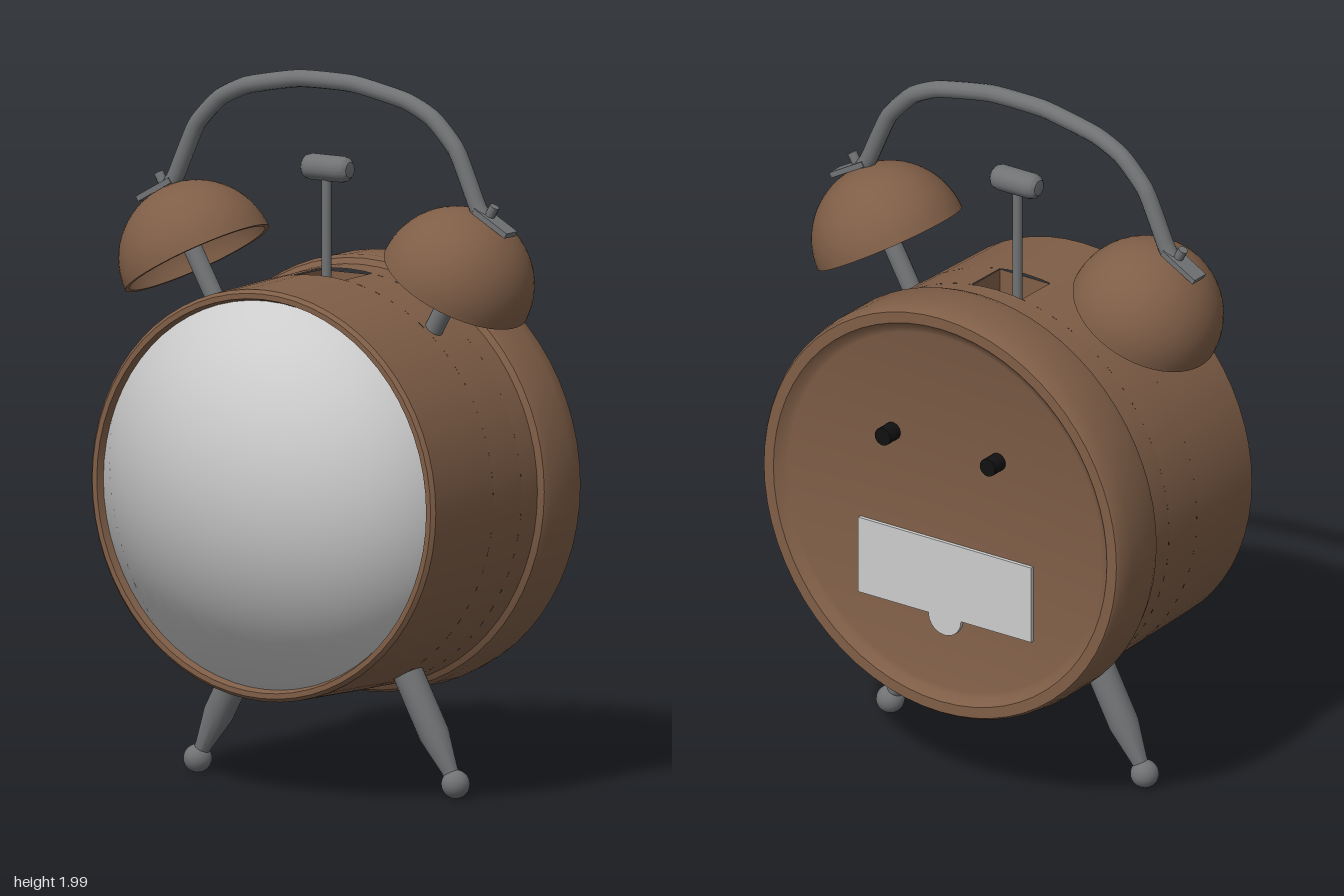
import * as THREE from 'three';
import { toCreasedNormals } from 'three/addons/utils/BufferGeometryUtils.js';

const brown = new THREE.MeshStandardMaterial({ color: 0x7f5e47 });
const metal = new THREE.MeshStandardMaterial({ color: 0x707274 });
const black = new THREE.MeshStandardMaterial({ color: 0x111111 });
const grey = new THREE.MeshStandardMaterial({ color: 0xcccccc });

const CY = 0.855; // height of the case axis
const MZ = 0.034; // depth of the plane holding legs, bells and handle

function add(parent, name, geometry, material, x = 0, y = 0, z = 0) {
  const mesh = new THREE.Mesh(geometry, material);
  mesh.name = name;
  mesh.position.set(x, y, z);
  parent.add(mesh);
  return mesh;
}

function lathe(points, segments = 32, start = 0, length = Math.PI * 2) {
  const profile = points.map(([r, h]) => new THREE.Vector2(r, h));
  return toCreasedNormals(new THREE.LatheGeometry(profile, segments, start, length), 0.6);
}

// Round case lying along z, with a slot in the top for the hammer
function addCase(model) {
  const part = (name, points, start, length) =>
    add(model, name, lathe(points, 64, start, length).rotateX(Math.PI / 2), brown, 0, CY, 0);
  part('caseBack', [
    [0, -0.31], [0.53, -0.31], [0.545, -0.315], [0.565, -0.335], [0.597, -0.335], [0.604, -0.325],
    [0.61, -0.28], [0.61, -0.17], [0.602, -0.15], [0.586, -0.14], [0.584, -0.065],
  ]);
  const gap = Math.asin(0.085 / 0.583);
  part('caseMiddle', [[0.584, -0.065], [0.582, 0.07]], Math.PI + gap, 2 * (Math.PI - gap));
  part('caseFront', [
    [0.582, 0.07], [0.575, 0.343], [0.565, 0.354], [0.55, 0.354], [0.542, 0.33], [0, 0.328],
  ]);
  const inside = brown.clone();
  inside.side = THREE.BackSide;
  add(model, 'hammerSlot', new THREE.BoxGeometry(0.17, 0.08, 0.135), inside, 0, 1.389, 0.0025);

  // Shallow glass: a cap flattened in depth that keeps its rounded normals
  const glass = new THREE.SphereGeometry(0.543 / Math.sin(Math.PI / 3), 64, 16, 0, Math.PI * 2, 0, Math.PI / 3);
  glass.rotateX(Math.PI / 2);
  const p = glass.attributes.position;
  const zMin = p.getZ(p.count - 1);
  for (let i = 0; i < p.count; i++) p.setZ(i, 0.332 + (p.getZ(i) - zMin) * 0.06);
  add(model, 'glass', glass, grey, 0, CY, 0);
}

// Two setting knobs and the battery cover with its finger tab
function addBackDetails(model) {
  for (const s of [-1, 1]) {
    const knob = new THREE.CylinderGeometry(0.026, 0.026, 0.06, 20).rotateX(Math.PI / 2);
    add(model, 'settingKnob', knob, black, s * 0.178, 1.055, -0.33);
  }
  const shape = new THREE.Shape();
  shape.moveTo(-0.293, 0.113);
  shape.lineTo(-0.293, -0.113);
  shape.lineTo(-0.055, -0.113);
  shape.absarc(0, -0.113, 0.055, Math.PI, Math.PI * 2, false);
  shape.lineTo(0.293, -0.113);
  shape.lineTo(0.293, 0.113);
  const cover = new THREE.ExtrudeGeometry(shape, { depth: 0.014, bevelEnabled: false });
  add(model, 'batteryCover', cover, grey, -0.005, 0.655, -0.321);
}

// Tapered leg with a ball foot, radial to the case
function addLeg(model, s) {
  const leg = new THREE.Group();
  leg.name = 'leg';
  leg.position.set(0, CY, MZ);
  leg.rotation.z = s * 0.49;
  add(leg, 'legShaft', lathe([[0, -0.9], [0.021, -0.9], [0.024, -0.87], [0.043, -0.765], [0.043, -0.55]], 20), metal);
  add(leg, 'foot', new THREE.SphereGeometry(0.04, 24, 16), metal, 0, -0.915, 0);
  model.add(leg);
}

// Hollow bell on a stem, with the handle bracket bolted to its crown
function addBell(model, s) {
  const bell = new THREE.Group();
  bell.name = 'bell';
  bell.position.set(s * 0.432, 1.443, MZ);
  bell.rotation.z = -s * 0.513;
  const profile = [];
  const n = 16;
  for (let i = 0; i <= n; i++) {
    const a = (i / n) * Math.PI / 2;
    profile.push([0.205 * Math.sin(a), 0.205 * Math.cos(a)]);
  }
  for (let i = n; i >= 0; i--) {
    const a = (i / n) * Math.PI / 2;
    profile.push([0.218 * Math.sin(a), 0.218 * Math.cos(a)]);
  }
  add(bell, 'bellDome', lathe(profile, 48), brown);
  add(bell, 'bellStem', new THREE.CylinderGeometry(0.027, 0.027, 0.41, 16), metal, 0, 0, 0);
  add(bell, 'handleBracket', new THREE.BoxGeometry(0.125, 0.016, 0.054), metal, s * 0.022, 0.224, 0);
  add(bell, 'bracketBolt', new THREE.CylinderGeometry(0.014, 0.014, 0.04, 12), metal, 0, 0.243, 0);
  model.add(bell);
}

// Carrying handle, mirrored from one half
function addHandle(model) {
  const half = [[0.52, 1.642], [0.503, 1.668], [0.435, 1.817], [0.355, 1.9], [0.265, 1.942], [0.09, 1.975]];
  const points = [
    ...half.map(([x, y]) => new THREE.Vector3(-x, y, MZ)),
    ...half.slice().reverse().map(([x, y]) => new THREE.Vector3(x, y, MZ)),
  ];
  const path = new THREE.CatmullRomCurve3(points, false, 'catmullrom', 0.25);
  add(model, 'handle', new THREE.TubeGeometry(path, 60, 0.0245, 12), metal);
  for (const s of [-1, 1]) {
    add(model, 'handleEnd', new THREE.SphereGeometry(0.0245, 12, 8), metal, s * 0.52, 1.642, MZ);
  }
}

// Hammer rod and its rounded head
function addHammer(model) {
  add(model, 'hammerRod', new THREE.CylinderGeometry(0.014, 0.014, 0.37, 16), metal, 0, 1.535, MZ);
  const head = lathe([
    [0, -0.078], [0.022, -0.076], [0.033, -0.066], [0.037, -0.05],
    [0.037, 0.05], [0.033, 0.066], [0.022, 0.076], [0, 0.078],
  ], 20).rotateZ(Math.PI / 2);
  add(model, 'hammerHead', head, metal, 0, 1.732, MZ - 0.004);
}

export function createModel() {
  const model = new THREE.Group();
  model.name = 'alarmClock';
  addCase(model);
  addBackDetails(model);
  for (const s of [-1, 1]) {
    addLeg(model, s);
    addBell(model, s);
  }
  addHandle(model);
  addHammer(model);
  model.position.x = -0.004;
  return model;
}
